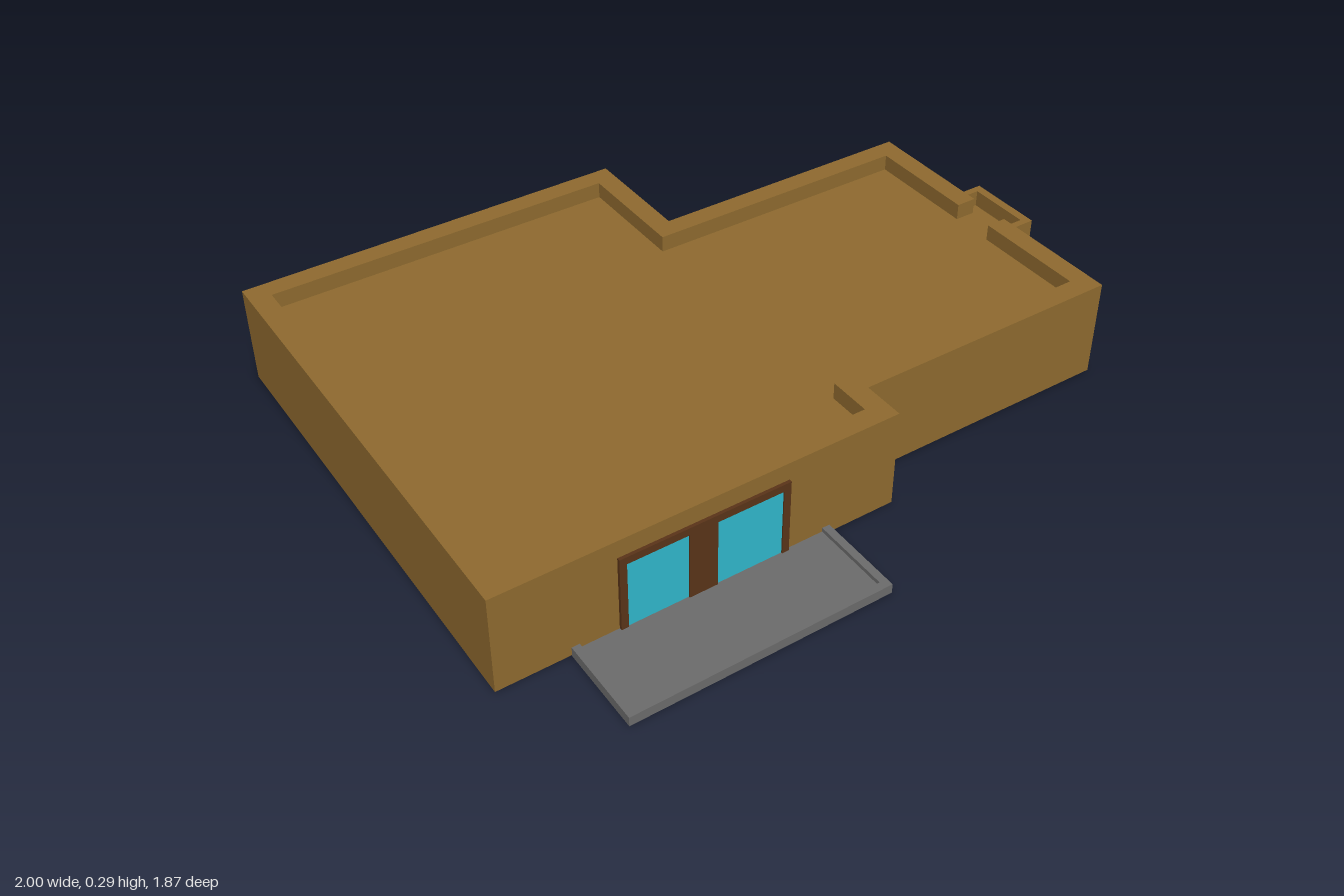
import * as THREE from 'three';

const mat = (color) => new THREE.MeshStandardMaterial({ color, flatShading: true, side: THREE.DoubleSide });

// floor plan [x, z] corners -> outline points for an upright extrusion
const plan = (pts) => pts.map(([x, z]) => new THREE.Vector2(x, -z));
const rect = (x0, x1, z0, z1) => [[x0, z0], [x1, z0], [x1, z1], [x0, z1]];

function slab(name, outline, hole, y0, y1, material) {
  const shape = new THREE.Shape(plan(outline));
  if (hole) shape.holes.push(new THREE.Path(plan(hole)));
  const geo = new THREE.ExtrudeGeometry(shape, { depth: y1 - y0, bevelEnabled: false });
  geo.rotateX(-Math.PI / 2).translate(0, y0, 0);
  const mesh = new THREE.Mesh(geo, material);
  mesh.name = name;
  return mesh;
}

function box(name, x0, x1, y0, y1, z0, z1, material) {
  const mesh = new THREE.Mesh(new THREE.BoxGeometry(x1 - x0, y1 - y0, z1 - z0), material);
  mesh.position.set((x0 + x1) / 2, (y0 + y1) / 2, (z0 + z1) / 2);
  mesh.name = name;
  return mesh;
}

// Double door; dir is +1 for the front wall, -1 for the back wall
function door(name, x0, x1, panes, zIn, zOut, dir, wood, glass) {
  const g = new THREE.Group();
  g.name = name;
  const top = 0.24, paneTop = 0.218, recess = 0.008;
  const zMid = zOut - dir * recess;
  const span = (a, b) => [Math.min(a, b), Math.max(a, b)];
  g.add(box('doorBacking', x0, x1, 0, top, ...span(zIn, zMid), wood));
  // posts beside and between the panes, then the head rail
  const edges = [x0, ...panes.flat(), x1];
  for (let i = 0; i < edges.length; i += 2) {
    g.add(box('doorPost', edges[i], edges[i + 1], 0, paneTop, ...span(zMid, zOut), wood));
  }
  g.add(box('doorHead', x0, x1, paneTop, top, ...span(zMid, zOut), wood));
  for (const [a, b] of panes) {
    g.add(box('glassPane', a, b, 0, paneTop, ...span(zMid, zMid + dir * 0.004), glass));
  }
  return g;
}

// Shallow terrace: raised rim on three sides around a thin floor
function terrace(name, x0, x1, zWall, zEdge, height, floorY, material) {
  const g = new THREE.Group();
  g.name = name;
  const t = 0.022, zi = zEdge - Math.sign(zEdge) * t;
  const rim = [[x0, zWall], [x0, zEdge], [x1, zEdge], [x1, zWall],
    [x1 - t, zWall], [x1 - t, zi], [x0 + t, zi], [x0 + t, zWall]];
  g.add(slab('terraceRim', rim, null, 0, height, material));
  const [za, zb] = [Math.min(zWall, zi), Math.max(zWall, zi)];
  g.add(slab('terraceFloor', rect(x0 + t, x1 - t, za, zb), null, floorY - 0.008, floorY, material));
  return g;
}

export function createModel() {
  const model = new THREE.Group();
  model.name = 'house';
  const wall = mat(0x8f6a2f), stone = mat(0x6c6c6c), wood = mat(0x5a3418), glass = mat(0x30b8cc);

  // Outer wall line: main block, side wing and chimney bay
  const outer = [[-1, -0.695], [0.14, -0.695], [0.14, -0.35], [0.94, -0.35], [0.94, -0.005],
    [1, -0.005], [1, 0.22], [0.94, 0.22], [0.94, 0.562], [0.14, 0.562], [0.14, 0.685], [-1, 0.685]];
  // Inner wall line, with the narrow throat into the chimney bay
  const inner = [[-0.94, -0.635], [0.08, -0.635], [0.08, -0.29], [0.88, -0.29], [0.88, 0.042],
    [0.94, 0.042], [0.94, 0.015], [0.975, 0.015], [0.975, 0.2], [0.94, 0.2], [0.94, 0.17],
    [0.88, 0.17], [0.88, 0.502], [0.08, 0.502], [0.08, 0.625], [-0.94, 0.625]];
  model.add(slab('walls', outer, inner, 0.002, 0.292, wall));
  model.add(slab('flatRoof', inner, null, 0.238, 0.244, wall));

  model.add(door('frontDoor', -0.67, -0.19, [[-0.65, -0.48], [-0.4, -0.21]], 0.622, 0.694, 1, wood, glass));
  model.add(door('backDoor', -0.61, -0.25, [[-0.59, -0.47], [-0.39, -0.27]], -0.632, -0.698, -1, wood, glass));

  model.add(terrace('frontTerrace', -0.8, -0.06, 0.686, 0.935, 0.028, 0.016, stone));
  model.add(terrace('backTerrace', -0.67, -0.19, -0.696, -0.935, 0.054, 0.022, stone));
  return model;
}
